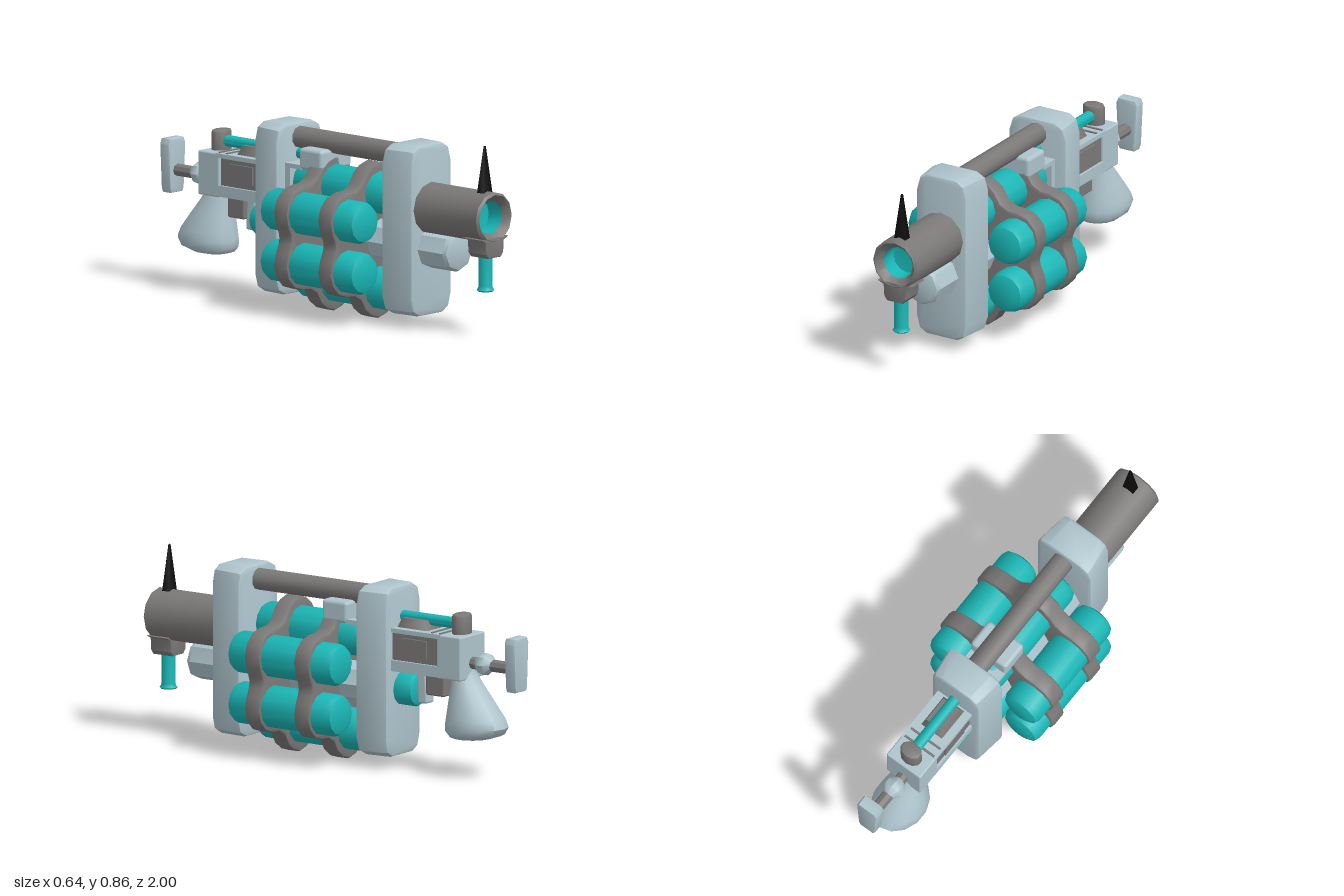
import * as THREE from 'three';
import { toCreasedNormals } from 'three/addons/utils/BufferGeometryUtils.js';
import { RoundedBoxGeometry } from 'three/addons/geometries/RoundedBoxGeometry.js';

const paint = (color) => new THREE.MeshStandardMaterial({ color });

export function createModel() {
  const root = new THREE.Group();
  const light = paint(0xaec4cc), dark = paint(0x7b7978), teal = paint(0x1ab6b6), black = paint(0x0c0c0c);
  const CX = 0.005; // the body sits slightly off the centre line

  const add = (name, geo, mat, x = 0, y = 0, z = 0) => {
    const m = new THREE.Mesh(geo, mat);
    m.name = name;
    m.position.set(x, y, z);
    root.add(m);
    return m;
  };
  // Box from its size in x and its limits in y and z
  const box = (name, mat, w, y0, y1, z0, z1, x = CX, r = 0) => add(name,
    r ? new RoundedBoxGeometry(w, y1 - y0, z1 - z0, 2, r) : new THREE.BoxGeometry(w, y1 - y0, z1 - z0),
    mat, x, (y0 + y1) / 2, (z0 + z1) / 2);
  // Lathe whose profile is [radius, height]; along z unless upright
  const turned = (name, mat, pts, x, y, z = 0, sides = 12, upright = false) => {
    let g = new THREE.LatheGeometry(pts.map((p) => new THREE.Vector2(p[0], p[1])), sides);
    if (!upright) g.rotateX(Math.PI / 2);
    return add(name, toCreasedNormals(g, 0.75), mat, x, y, z);
  };
  // Solid bar profile with softened ends
  const bar = (r, a, b, e = 0) => e
    ? [[0, a], [r - e, a], [r - e * 0.3, a + e * 0.3], [r, a + e], [r, b - e], [r - e * 0.3, b - e * 0.3], [r - e, b], [0, b]]
    : [[0, a], [r, a], [r, b], [0, b]];
  // Outline mirrored in x, extruded from z0 to z1 with a bevel
  const slab = (half, z0, z1, bevel) => {
    const left = half.filter((p) => p[0] > 0).reverse().map((p) => [-p[0], p[1]]);
    const shape = new THREE.Shape([...half, ...left].map((p) => new THREE.Vector2(p[0], p[1])));
    return new THREE.ExtrudeGeometry(shape, {
      depth: z1 - z0 - 2 * bevel, bevelEnabled: true, bevelSize: bevel,
      bevelThickness: bevel, bevelOffset: -bevel, bevelSegments: 2,
    }).translate(0, 0, z0 + bevel);
  };

  // End plates, narrowing toward their outer faces
  const plateHalf = [[0.09, 0.06], [0.135, 0.083], [0.153, 0.14], [0.153, 0.75], [0.135, 0.807], [0.09, 0.83]];
  for (const [name, z0, z1, wide] of [['frontPlate', 0.445, 0.61, 0.445], ['rearPlate', -0.35, -0.195, -0.195]]) {
    const g = slab(plateHalf, z0, z1, 0.016), p = g.attributes.position;
    for (let i = 0; i < p.count; i++) p.setX(i, p.getX(i) * (1 - 0.9 * Math.abs(p.getZ(i) - wide)));
    add(name, toCreasedNormals(g, 0.6), light, CX);
  }

  // Ring of six canisters
  const spots = [[0, 0.575], [0.21, 0.475], [0.21, 0.245], [0, 0.145], [-0.21, 0.245], [-0.21, 0.475]];
  for (const [x, y] of spots) turned('canister', teal, bar(0.097, -0.165, 0.415, 0.04), x, y);

  // Scalloped bands around the canisters
  const low = [[0, 0.005], [0.05, 0.02], [0.09, 0.05], [0.12, 0.1], [0.16, 0.122], [0.21, 0.125],
    [0.265, 0.142], [0.305, 0.185], [0.32, 0.24], [0.308, 0.295], [0.29, 0.335]];
  const bandHalf = [...low, [0.285, 0.36], ...low.map((p) => [p[0], 0.72 - p[1]]).reverse()];
  for (const z of [0.215, -0.055]) add('band', toCreasedNormals(slab(bandHalf, z, z + 0.085, 0.014), 0.75), dark);

  // Central core with front snout and rear cap
  turned('core', light, bar(0.092, -0.3, 0.785, 0.025), CX, 0.365, 0, 8);
  turned('rearCap', teal, bar(0.078, -0.445, -0.3, 0.025), CX, 0.365);
  turned('topRail', dark, bar(0.05, -0.2, 0.45), CX, 0.765, 0, 10);

  // Barrel with a flared muzzle and coloured bore
  turned('barrel', dark, [[0, 0.55], [0.117, 0.55], [0.117, 0.99], [0.106, 1], [0.075, 0.965], [0.075, 0.9]], CX, 0.545, 0, 12);
  turned('bore', teal, [[0.074, 0.97], [0.074, 0.89], [0, 0.88]], CX, 0.545);
  const lug = [[0.04, 0.365], [0.056, 0.385], [0.06, 0.44], [0.09, 0.5], [0.03, 0.5]];
  const lugMesh = add('muzzleLug', toCreasedNormals(slab(lug, 0.885, 0.998, 0.006), 0.5), dark, CX);
  lugMesh.scale.z = 1;
  // Hollow out the view of the bore by keeping the lug below it
  const lp = lugMesh.geometry.attributes.position;
  for (let i = 0; i < lp.count; i++) lp.setY(i, Math.min(lp.getY(i), 0.455));

  turned('foreGrip', teal, [[0, 0.208], [0.034, 0.208], [0.04, 0.214], [0.034, 0.222], [0.032, 0.232], [0.032, 0.38], [0, 0.38]],
    CX, 0, 0.94, 12, true);
  const sight = add('frontSight', new THREE.CylinderGeometry(0.006, 0.044, 0.225, 4).rotateY(Math.PI / 4), black, CX, 0.752, 0.935);
  sight.scale.z = 0.65;

  // Latch block in front of the rear plate
  box('latch', light, 0.2, 0.64, 0.74, -0.11, 0.03, CX, 0.018);
  box('latchShelf', light, 0.19, 0.64, 0.66, -0.22, -0.1);
  box('latchBack', light, 0.19, 0.5, 0.65, -0.2, -0.165);

  // Receiver: dark side panel framed by light strips
  box('sidePanel', dark, 0.165, 0.5, 0.64, -0.6, -0.3);
  box('lowerStrip', light, 0.19, 0.455, 0.505, -0.62, -0.3);
  box('upperStrip', light, 0.19, 0.63, 0.65, -0.62, -0.3);
  box('receiverBlock', light, 0.19, 0.45, 0.65, -0.73, -0.6, CX, 0.008);
  box('sideCatch', dark, 0.185, 0.53, 0.61, -0.54, -0.4);
  for (const z of [-0.565, -0.61]) box('topSlit', dark, 0.165, 0.645, 0.655, z - 0.005, z + 0.005);
  const wedge = add('topWedge', new THREE.CylinderGeometry(0.09, 0.12, 0.05, 4).rotateY(Math.PI / 4), dark, CX, 0.668, -0.44);
  wedge.scale.x = 0.7;

  // Bolt rod and knob
  turned('boltRod', teal, bar(0.026, -0.65, -0.1), CX, 0.692, 0, 10);
  turned('boltKnob', dark, bar(0.053, 0.62, 0.74, 0.012), CX, 0, -0.672, 10, true).scale.z = 0.75;

  // Trigger and its housing
  box('triggerHousing', dark, 0.08, 0.355, 0.46, -0.6, -0.5, CX, 0.008);
  const trigger = box('trigger', light, 0.06, 0.31, 0.46, -0.495, -0.445, CX, 0.01);
  trigger.rotation.x = 0.06;

  // Grip lofted through ellipses: [y, front z, back z, half width]
  const rings = [[0.175, -0.66, -0.76, 0.045], [0.185, -0.62, -0.82, 0.09], [0.207, -0.602, -0.885, 0.117],
    [0.24, -0.602, -0.905, 0.124], [0.28, -0.608, -0.887, 0.117], [0.35, -0.617, -0.832, 0.096],
    [0.42, -0.63, -0.775, 0.074], [0.475, -0.632, -0.735, 0.06], [0.51, -0.64, -0.725, 0.05]];
  const grip = new THREE.CylinderGeometry(1, 1, 1, 14, rings.length - 1), gp = grip.attributes.position;
  for (let i = 0; i < gp.count; i++) {
    const [y, a, b, w] = rings[Math.round((gp.getY(i) + 0.5) * (rings.length - 1))];
    gp.setXYZ(i, gp.getX(i) * w, y, (a + b) / 2 + gp.getZ(i) * (a - b) / 2);
  }
  add('grip', toCreasedNormals(grip, 0.9), light, CX);

  // Stock rod, collar and butt plate
  turned('stockRod', dark, bar(0.028, -0.96, -0.7), CX, 0.522, 0, 8);
  turned('stockCollar', light, [[0, -0.845], [0.025, -0.845], [0.05, -0.815], [0.05, -0.785], [0.025, -0.755], [0, -0.755]], CX, 0.525, 0, 8);
  const butt = [[0.038, 0.42], [0.045, 0.44], [0.055, 0.64], [0.045, 0.665]];
  add('buttPlate', toCreasedNormals(slab(butt, -1, -0.942, 0.008), 0.5), light, CX);
  return root;
}
